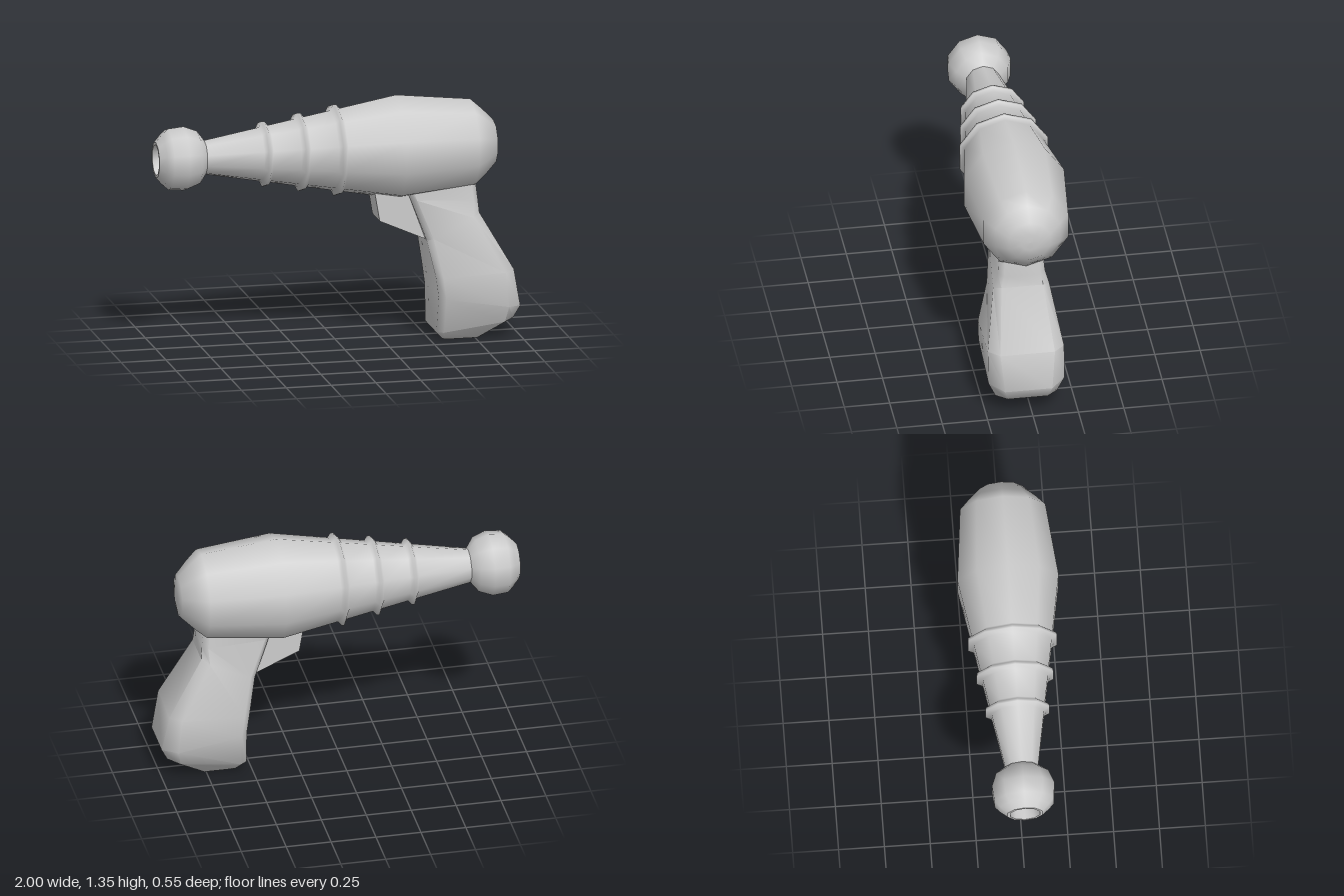
import * as THREE from 'three';
import { toCreasedNormals } from 'three/addons/utils/BufferGeometryUtils.js';

const material = new THREE.MeshStandardMaterial({ color: 0xcccccc });
const AXIS_Y = 1.06;   // height of the barrel axis
const GRIP_Z = 0.023;  // the grip sits slightly off centre

function addMesh(group, name, geometry) {
  const mesh = new THREE.Mesh(geometry, material);
  mesh.name = name;
  group.add(mesh);
  return mesh;
}

// Ten-sided turned part along x, from [x, radius] pairs
function turned(profile) {
  const points = profile.map(([x, r]) => new THREE.Vector2(r, x));
  return new THREE.LatheGeometry(points, 10, Math.PI / 2)
    .rotateZ(-Math.PI / 2)
    .translate(0, AXIS_Y, 0);
}

// Grip: chamfered sections stacked upwards
// section: [frontX, frontY, backX, backY, halfWidth, frontChamfer, backChamfer]
function gripGeometry(sections) {
  const positions = [];
  const index = [];
  for (const [fx, fy, bx, by, w, cf, cb] of sections) {
    const ring = [
      [fx, w - cf], [fx + cf, w], [bx - cb, w], [bx, w - cb],
      [bx, cb - w], [bx - cb, -w], [fx + cf, -w], [fx, cf - w],
    ];
    for (const [x, z] of ring) {
      positions.push(x, fy + (by - fy) * (x - fx) / (bx - fx), z + GRIP_Z);
    }
  }
  const last = sections.length - 1;
  for (let i = 0; i < last; i++) {
    for (let j = 0; j < 8; j++) {
      const a = i * 8 + j, b = i * 8 + (j + 1) % 8;
      index.push(a, b, a + 8, b, b + 8, a + 8);
    }
  }
  for (let j = 1; j < 7; j++) {
    index.push(0, j + 1, j, last * 8, last * 8 + j, last * 8 + j + 1);
  }
  const geometry = new THREE.BufferGeometry();
  geometry.setAttribute('position', new THREE.Float32BufferAttribute(positions, 3));
  geometry.setIndex(index);
  return toCreasedNormals(geometry, 0.85);
}

export function createModel() {
  const model = new THREE.Group();
  model.name = 'rayGun';

  // Tapered barrel with three raised rings, swelling into a domed rear
  const taper = (x) => 0.095 + (x + 0.73) * 0.182;
  const body = [[-0.75, 0.095], [-0.73, 0.095]];
  for (const x of [-0.4, -0.2, 0]) {
    body.push([x - 0.025, taper(x - 0.025)], [x - 0.008, taper(x) + 0.028],
      [x + 0.008, taper(x) + 0.026], [x + 0.025, taper(x + 0.025)]);
  }
  body.push([0.34, 0.29], [0.755, 0.245], [0.82, 0.187], [0.885, 0.12], [0.898, 0.05], [0.9, 0]);
  addMesh(model, 'barrelBody', turned(body));

  // Round muzzle with a shallow bore
  addMesh(model, 'muzzle', turned([
    [-1, 0.1], [-0.965, 0.14], [-0.93, 0.171], [-0.845, 0.179],
    [-0.77, 0.15], [-0.73, 0.095],
  ]));
  addMesh(model, 'muzzleBore', toCreasedNormals(turned([
    [-0.93, 0], [-0.93, 0.08], [-1, 0.085], [-1, 0.1],
  ]), 0.7));

  addMesh(model, 'grip', gripGeometry([
    [0.57, 0, 0.78, 0, 0.12, 0.02, 0.02],
    [0.53, 0.045, 0.965, 0.1, 0.17, 0.035, 0.06],
    [0.535, 0.25, 1.0, 0.17, 0.21, 0.035, 0.08],
    [0.52, 0.36, 0.96, 0.38, 0.21, 0.035, 0.06],
    [0.48, 0.56, 0.775, 0.7, 0.155, 0.03, 0.04],
    [0.395, 0.79, 0.77, 0.77, 0.13, 0.03, 0.03],
    [0.36, 0.88, 0.755, 0.9, 0.12, 0.03, 0.03],
  ]));

  // Trigger wedge between the grip and the underside of the barrel
  const wedge = new THREE.Shape([
    [0.19, 0.88], [0.225, 0.675], [0.49, 0.557], [0.52, 0.6], [0.45, 0.88],
  ].map(([x, y]) => new THREE.Vector2(x, y)));
  const trigger = new THREE.ExtrudeGeometry(wedge, { depth: 0.18, bevelEnabled: false });
  addMesh(model, 'trigger', trigger.translate(0, 0, GRIP_Z - 0.09));

  return model;
}
